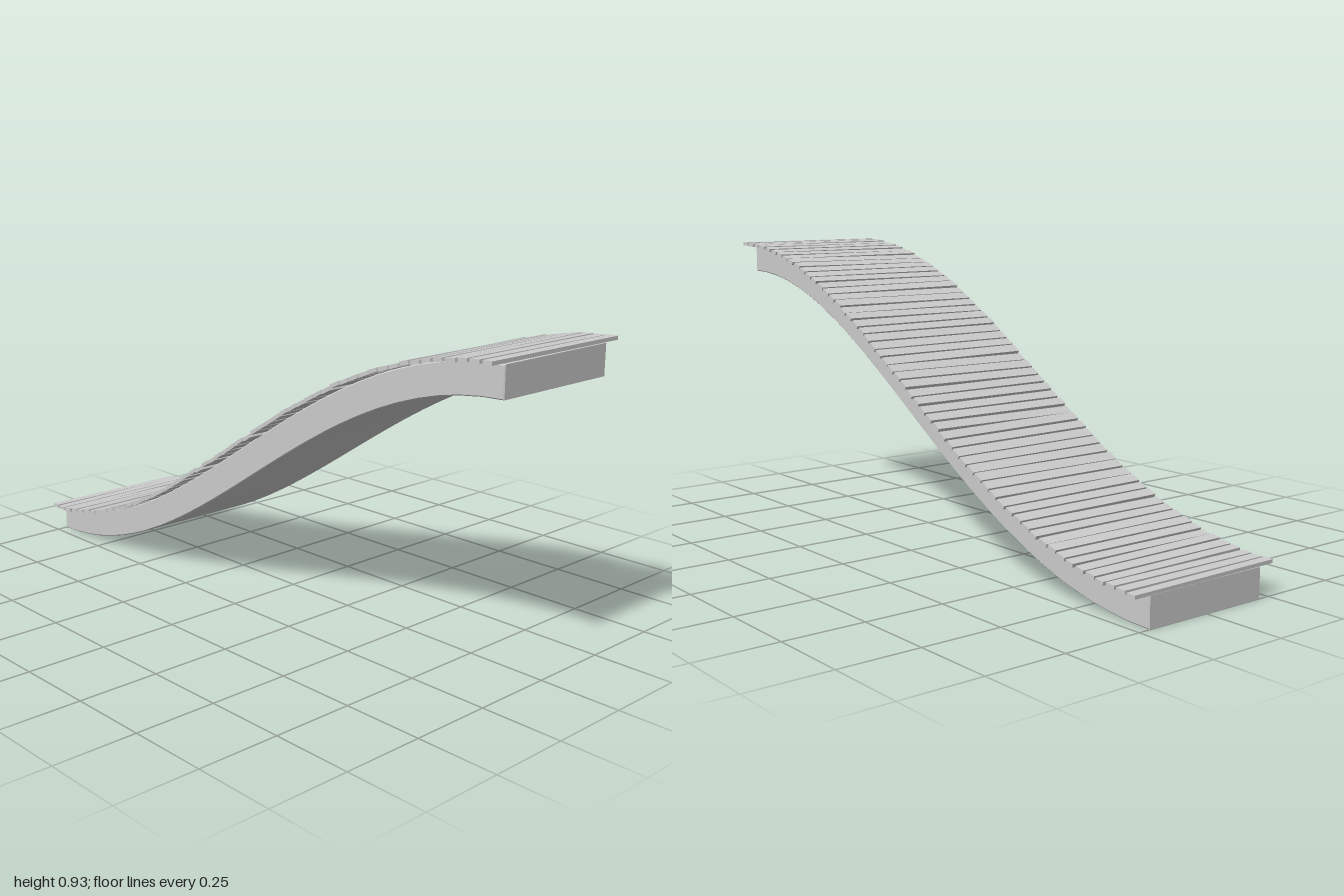
import * as THREE from 'three';
import { toCreasedNormals } from 'three/addons/utils/BufferGeometryUtils.js';

const DECK_WIDTH = 0.43, THICKNESS = 0.091, RISE = 0.41, MID = 0.504;
const PLANKS = 56, PLANK_LENGTH = 0.532, PLANK_HEIGHT = 0.011;

// S-curve of the deck's top surface and its slope along z
const height = (z) => MID + RISE * Math.sin((z * Math.PI) / 2);
const slope = (z) => (RISE * Math.PI / 2) * Math.cos((z * Math.PI) / 2);

// Small seeded generator giving values from -1 to 1
function seeded(seed) {
  return () => {
    seed = (seed * 16807) % 2147483647;
    return (seed / 2147483647) * 2 - 1;
  };
}

export function createModel() {
  const group = new THREE.Group();
  group.name = 'curvedRamp';
  const material = new THREE.MeshStandardMaterial({ color: 0xcccccc });

  // Solid curved base: side profile extruded across the width
  const top = [], bottom = [], steps = 28;
  for (let i = 0; i <= steps; i++) {
    const z = -1 + (2 * i) / steps;
    top.push(new THREE.Vector2(z, height(z)));
    bottom.push(new THREE.Vector2(z, height(z) - THICKNESS * Math.hypot(1, slope(z))));
  }
  const bevel = 0.003;
  const baseGeometry = new THREE.ExtrudeGeometry(new THREE.Shape([...bottom, ...top.reverse()]), {
    depth: DECK_WIDTH - 2 * bevel, steps: 1, bevelEnabled: true, bevelSegments: 1,
    bevelSize: bevel, bevelThickness: bevel, bevelOffset: -bevel,
  });
  baseGeometry.translate(0, 0, -(DECK_WIDTH / 2 - bevel));
  baseGeometry.rotateY(-Math.PI / 2);
  const base = new THREE.Mesh(toCreasedNormals(baseGeometry, 0.5), material);
  base.name = 'base';
  group.add(base);

  // Planks evenly spaced along the curve, each slightly uneven
  const curvePoints = Array.from({ length: 101 }, (_, i) => {
    const z = -0.984 + (1.968 * i) / 100;
    return new THREE.Vector3(0, height(z), z);
  });
  const path = new THREE.CatmullRomCurve3(curvePoints);
  const pitch = path.getLength() / (PLANKS - 1);
  const random = seeded(4217);
  const planks = new THREE.Group();
  planks.name = 'planks';
  for (let i = 0; i < PLANKS; i++) {
    const p = path.getPointAt(i / (PLANKS - 1));
    const angle = Math.atan(slope(p.z));
    const atEnd = i === 0 || i === PLANKS - 1;
    const width = atEnd ? 0.03 : pitch * (0.82 + 0.08 * random());
    const plank = new THREE.Mesh(new THREE.BoxGeometry(PLANK_LENGTH, PLANK_HEIGHT, width), material);
    const lift = PLANK_HEIGHT / 2 + 0.0015 + 0.0015 * random();
    plank.position.set(0.002 * random(), p.y + lift * Math.cos(angle), p.z - lift * Math.sin(angle));
    plank.rotation.set(-angle + 0.02 * random(), atEnd ? 0 : 0.008 * random(), 0.008 * random());
    plank.name = `plank${i + 1}`;
    planks.add(plank);
  }
  group.add(planks);
  return group;
}
